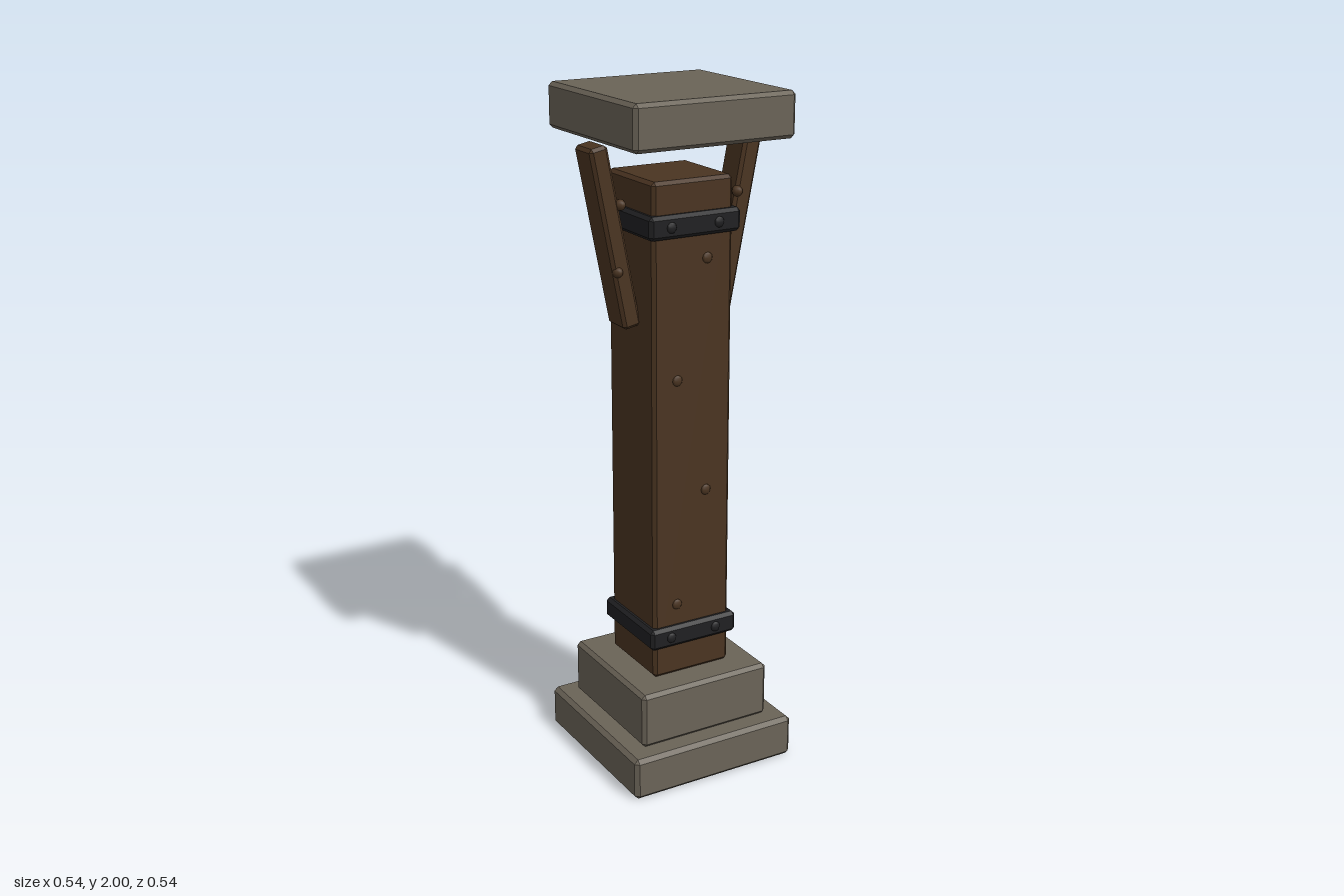
import * as THREE from 'three';
import { ConvexGeometry } from 'three/addons/geometries/ConvexGeometry.js';

function makeMaterial(name, color) {
  const m = new THREE.MeshStandardMaterial({ color });
  m.name = name;
  return m;
}

// Box with flat chamfers on every edge
function chamferBox(w, h, d, c) {
  const points = [];
  for (const x of [-1, 1]) for (const y of [-1, 1]) for (const z of [-1, 1]) {
    for (let axis = 0; axis < 3; axis++) {
      const inset = [c, c, c];
      inset[axis] = 0;
      points.push(new THREE.Vector3(
        x * (w / 2 - inset[0]), y * (h / 2 - inset[1]), z * (d / 2 - inset[2])));
    }
  }
  return new ConvexGeometry(points);
}

export function createModel() {
  const model = new THREE.Group();
  model.name = 'pillar';
  const stone = makeMaterial('stone', 0x6a6357);
  const wood = makeMaterial('wood', 0x4a3421);
  const iron = makeMaterial('dark iron', 0x202022);
  const steel = makeMaterial('bolt steel', 0x6c6a66);

  const add = (name, geometry, material, x, y, z) => {
    const mesh = new THREE.Mesh(geometry, material);
    mesh.name = name;
    mesh.position.set(x, y, z);
    model.add(mesh);
    return mesh;
  };
  // Square block between two heights
  const block = (name, material, width, y0, y1, chamfer) =>
    add(name, chamferBox(width, y1 - y0, width, chamfer), material, 0, (y0 + y1) / 2, 0);

  // Stone plinth and capital
  block('lowerPlinth', stone, 0.536, 0, 0.128, 0.012);
  block('upperPlinth', stone, 0.424, 0.128, 0.296, 0.011);
  block('capital', stone, 0.496, 1.872, 2, 0.011);

  // Timber post with iron bands
  block('post', wood, 0.254, 0.296, 1.768, 0.01);
  block('lowerBand', iron, 0.288, 0.393, 0.457, 0.01);
  block('upperBand', iron, 0.288, 1.612, 1.678, 0.01);

  // Leaning side braces
  for (const side of [-1, 1]) {
    const brace = add(side > 0 ? 'leftBrace' : 'rightBrace',
      chamferBox(0.055, 0.518, 0.097, 0.009), wood, side * 0.195, 1.606, 0);
    brace.rotation.z = -side * 0.195;
  }

  const dome = new THREE.SphereGeometry(0.016, 8, 6);

  // Pegs on the front of the post
  for (const [x, y] of [[-0.05, 0.52], [0.045, 0.862], [-0.05, 1.205], [0.045, 1.545]])
    add('postPeg', dome, wood, x, y, 0.127).scale.z = 0.45;

  // Pegs on the edges of the braces
  for (const [x, y] of [[-0.18, 1.7], [-0.19, 1.515], [0.193, 1.7], [0.14, 1.527]])
    add('bracePeg', dome, wood, x, y, 0.042);

  // Rivets on the front of the bands
  for (const y of [0.425, 1.645]) for (const x of [-0.078, 0.072])
    add('bandRivet', dome, iron, x, y, 0.143).scale.z = 0.5;

  // Steel bolts on the left side, by the inner edge of each band
  for (const y of [0.455, 1.612]) for (const z of [-0.045, 0.045])
    add('sideBolt', dome, steel, 0.134, y, z).scale.y = 0.7;

  return model;
}
